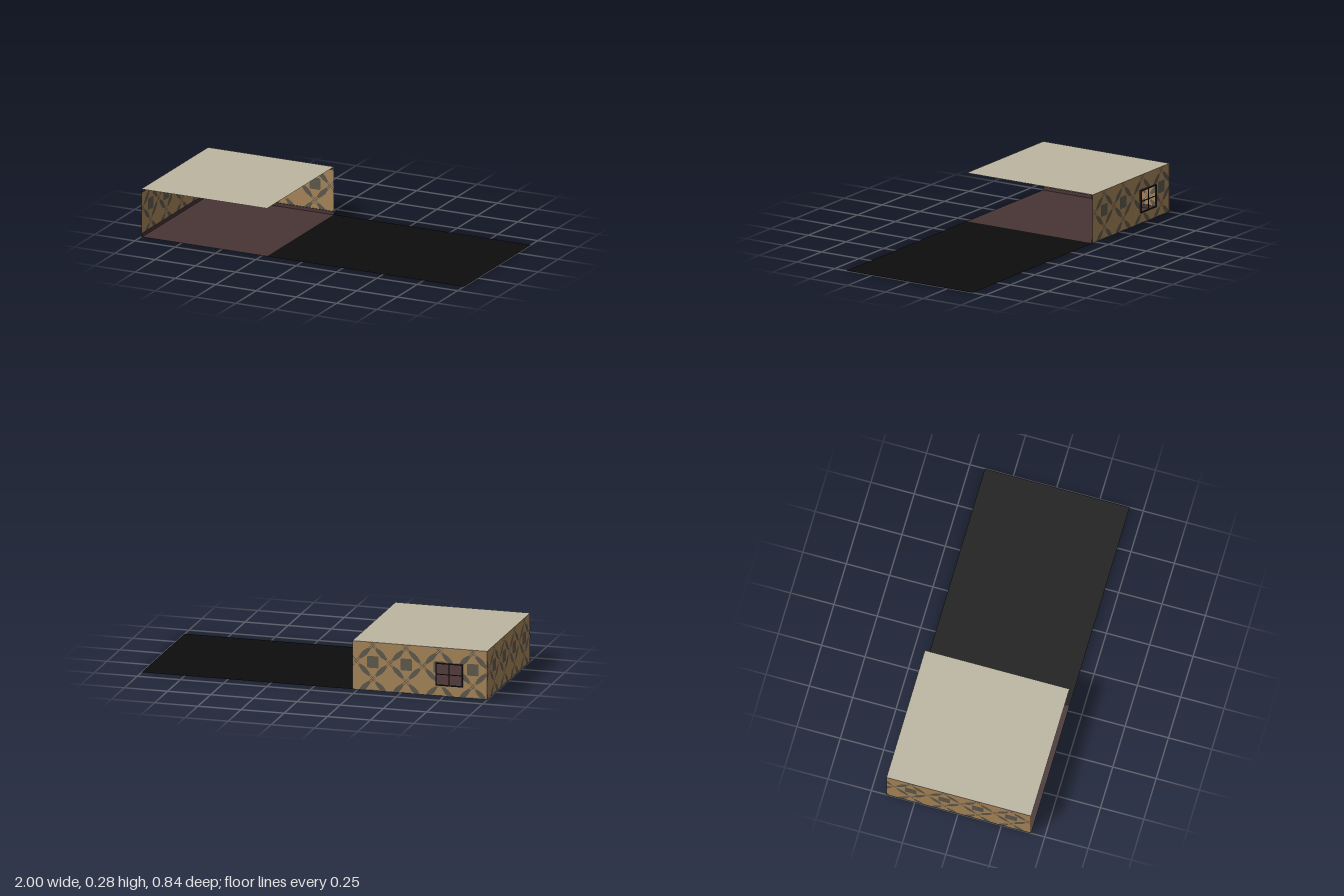
import * as THREE from 'three';

const material = (name, color) => {
  const m = new THREE.MeshStandardMaterial({ color, side: THREE.DoubleSide });
  m.name = name;
  return m;
};

// Overall layout
const X0 = -1, X1 = -0.22, Z0 = -0.413, Z1 = 0.421, H = 0.279;
const HOLE = { x0: -0.857, x1: -0.705, y0: 0.064, y1: 0.189 };
const TILE = 0.193, ROW = 0.165;

// Keep the part of a convex polygon inside the rectangle [x0, y0, x1, y1]
function clip(poly, [x0, y0, x1, y1]) {
  const sides = [[0, x0, 1], [0, x1, -1], [1, y0, 1], [1, y1, -1]];
  for (const [axis, limit, sign] of sides) {
    const out = [];
    poly.forEach((p, i) => {
      const q = poly[(i + 1) % poly.length];
      const a = (p[axis] - limit) * sign, b = (q[axis] - limit) * sign;
      if (a >= 0) out.push(p);
      if (a * b < 0) {
        const t = a / (a - b);
        out.push([p[0] + (q[0] - p[0]) * t, p[1] + (q[1] - p[1]) * t]);
      }
    });
    poly = out;
  }
  return poly;
}

// Flat geometry from convex polygons
function polygons(list, z) {
  const pos = [];
  for (const p of list)
    for (let i = 1; i < p.length - 1; i++)
      for (const v of [p[0], p[i], p[i + 1]]) pos.push(v[0], v[1], z);
  const g = new THREE.BufferGeometry();
  g.setAttribute('position', new THREE.Float32BufferAttribute(pos, 3));
  g.computeVertexNormals();
  return g;
}

const rect = ([x0, y0, x1, y1]) => [[x0, y0], [x1, y0], [x1, y1], [x0, y1]];

// Wallpaper motif: central block inside a diamond lattice of leaf patches
function motif(cx, cy) {
  const s = 0.034, c = 0.028;
  const list = [[[-s, -c], [-c, -s], [c, -s], [s, -c], [s, c], [c, s], [-c, s], [-s, c]]
    .map(([x, y]) => [cx + x, cy + y])];
  const leaf = [[-0.042, -0.007], [-0.012, -0.014], [0.012, -0.014], [0.042, -0.007],
    [0.042, 0.007], [0.012, 0.014], [-0.012, 0.014], [-0.042, 0.007]];
  const strand = (y) => [-1, 1].map((e) => {
    const a = e * 0.042, b = e * 0.068;
    return rect([Math.min(a, b), y - 0.0015, Math.max(a, b), y + 0.0015]);
  });
  const shapes = [leaf, ...strand(0.005), ...strand(-0.005)];
  for (const sx of [-1, 1]) for (const sy of [-1, 1]) {
    const mx = cx + sx * TILE / 4, my = cy + sy * TILE / 4;
    const dx = Math.SQRT1_2, dy = -sx * sy * Math.SQRT1_2;
    for (const shape of shapes)
      list.push(shape.map(([u, v]) => [mx + u * dx - v * dy, my + u * dy + v * dx]));
  }
  return list;
}

// Papered wall in the xy plane, assembled from rectangular regions
function wall(name, regions, firstCentre, paper, print) {
  const group = new THREE.Group();
  group.name = name;
  const base = new THREE.Mesh(polygons(regions.map(rect), 0), paper);
  base.name = name + 'Paper';
  group.add(base);
  const pieces = [];
  for (let col = -1; col < 6; col++)
    for (let row = -1; row < 2; row++)
      for (const shape of motif(firstCentre + col * TILE, ROW + row * TILE))
        for (const region of regions) {
          const piece = clip(shape, region);
          if (piece.length > 2) pieces.push(piece);
        }
  for (const z of [-0.0012, 0.0012]) {
    const mesh = new THREE.Mesh(polygons(pieces, z), print);
    mesh.name = name + 'Pattern';
    group.add(mesh);
  }
  return group;
}

export function createModel() {
  const model = new THREE.Group();
  model.name = 'openRoom';
  const tan = material('tanPaper', 0xa88559);
  const grey = material('greyPattern', 0x5f594c);
  const brown = material('darkBrownWood', 0x483536);
  const cream = material('creamCeiling', 0xbcb5a1);
  const black = material('blackGround', 0x0d0d0d);
  const frame = material('windowFrame', 0x261b1c);

  // Horizontal sheets
  const sheet = (name, x0, x1, y, mat) => {
    const g = new THREE.PlaneGeometry(x1 - x0, Z1 - Z0).rotateX(-Math.PI / 2);
    const mesh = new THREE.Mesh(g, mat);
    mesh.name = name;
    mesh.position.set((x0 + x1) / 2, y, (Z0 + Z1) / 2);
    model.add(mesh);
  };
  sheet('floor', X0, X1, 0, brown);
  sheet('ceiling', X0, X1, H, cream);
  sheet('outsideGround', X1, 1, 0, black);

  // Back wall around the window opening
  const { x0, x1, y0, y1 } = HOLE;
  const back = wall('backWall', [[X0, 0, x0, H], [x1, 0, X1, H], [x0, 0, x1, y0], [x0, y1, x1, H]],
    -0.917, tan, grey);
  back.position.z = Z0 + 0.001;
  model.add(back);

  // Side wall, its local x running along z
  const side = wall('sideWall', [[Z0, 0, Z1, H]], -0.273, tan, grey);
  side.rotation.y = -Math.PI / 2;
  side.position.x = X0 + 0.001;
  model.add(side);

  const box = (name, w, h, d, x, y, z, mat) => {
    const mesh = new THREE.Mesh(new THREE.BoxGeometry(w, h, d), mat);
    mesh.name = name;
    mesh.position.set(x, y, z);
    model.add(mesh);
  };

  // Skirting and cornice on the inside of both walls
  const trim = 0.019, t = 0.004;
  for (const [name, y] of [['skirting', trim / 2 + 0.0005], ['cornice', H - trim / 2 - 0.0005]]) {
    box(name + 'Back', X1 - X0 - 0.004, trim, t, (X0 + X1) / 2 + 0.001, y, Z0 + 0.0025 + t / 2, brown);
    box(name + 'Side', t, trim, Z1 - Z0 - 0.004, X0 + 0.0025 + t / 2, y, (Z0 + Z1) / 2, brown);
  }

  // Window frame and glazing bars on the outside
  const bar = 0.005, depth = 0.01, z = Z0 - depth / 2 + 0.001;
  const mx = (x0 + x1) / 2, my = (y0 + y1) / 2;
  for (const x of [x0, x1]) box('windowJamb', bar, y1 - y0 + bar, depth, x, my, z, frame);
  for (const y of [y0, y1]) box('windowRail', x1 - x0 - bar, bar, depth, mx, y, z, frame);
  box('windowMullion', 0.004, y1 - y0 - bar, 0.006, mx, my, z, frame);
  box('windowCrossbar', x1 - x0 - bar, 0.004, 0.005, mx, my, z, frame);

  return model;
}
